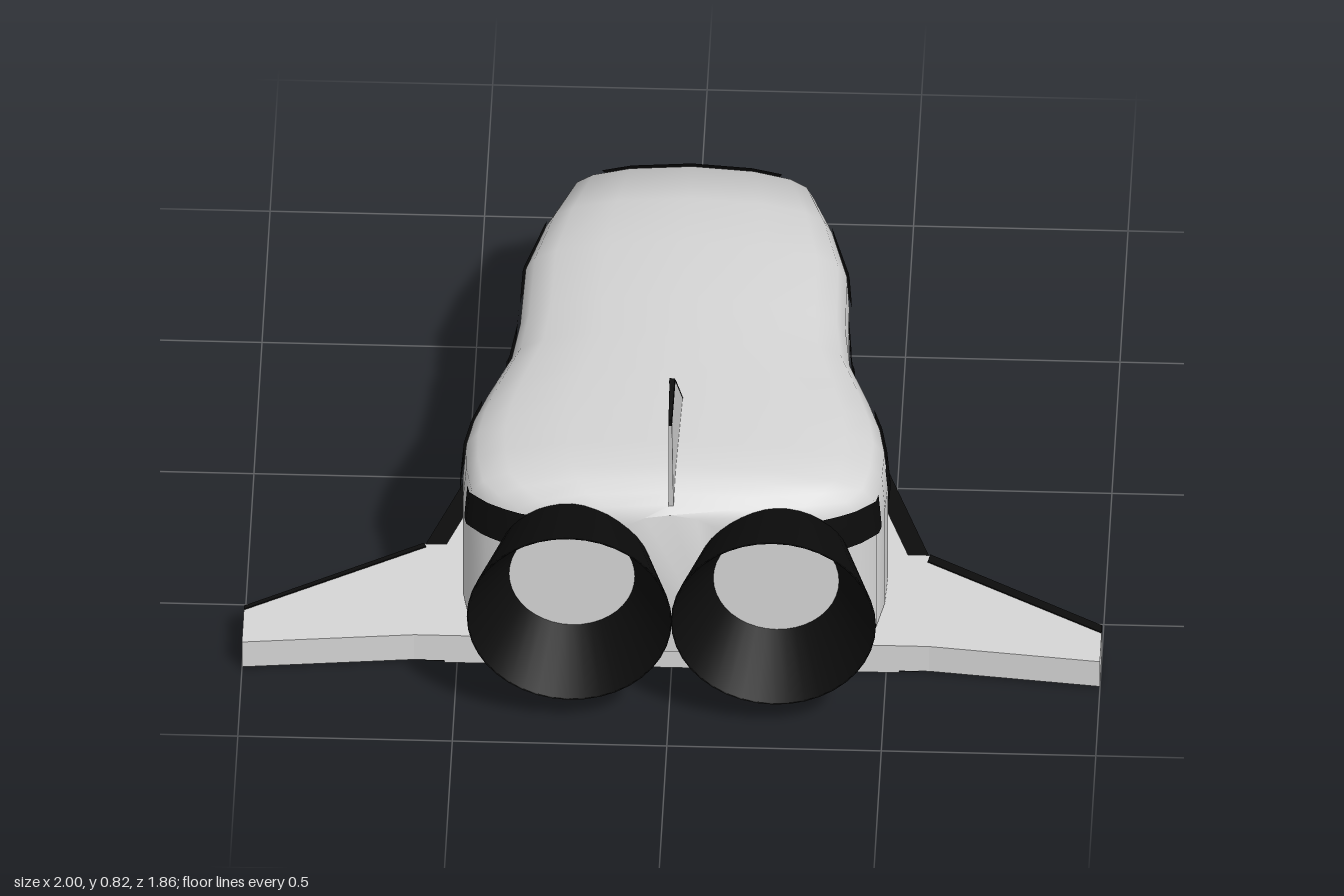
import * as THREE from 'three';
import { toCreasedNormals } from 'three/addons/utils/BufferGeometryUtils.js';

const hull = new THREE.MeshStandardMaterial({ color: 0xd6d6d6 });
const black = new THREE.MeshStandardMaterial({ color: 0x0c0c0c, side: THREE.DoubleSide });
hull.name = 'hullGrey';
black.name = 'tileBlack';

// Piecewise linear lookup in rows sorted by column 0
function lerpRows(rows, t, col) {
  let i = 1;
  while (i < rows.length - 1 && rows[i][0] < t) i++;
  const a = rows[i - 1], b = rows[i];
  const k = Math.min(1, Math.max(0, (t - a[0]) / (b[0] - a[0])));
  return a[col] + (b[col] - a[col]) * k;
}

// Skin over equal-sized rings of points; closed rings get end caps
function loft(rings, crease = 0.3, closed = true) {
  const n = rings[0].length, pos = rings.flat(2), idx = [];
  for (let r = 0; r < rings.length - 1; r++) {
    for (let i = 0; i < (closed ? n : n - 1); i++) {
      const j = (i + 1) % n, a = r * n + i, b = r * n + j;
      idx.push(a, b, b + n, a, b + n, a + n);
    }
  }
  if (closed) {
    const last = (rings.length - 1) * n;
    for (let i = 1; i < n - 1; i++) {
      idx.push(0, i + 1, i, last, last + i, last + i + 1);
    }
  }
  const g = new THREE.BufferGeometry();
  g.setAttribute('position', new THREE.Float32BufferAttribute(pos, 3));
  g.setIndex(idx);
  return toCreasedNormals(g, crease);
}

// Horizontal plate from a plan outline of [x, z] points
function plate(points, y0, y1) {
  const shape = new THREE.Shape(points.map(([x, z]) => new THREE.Vector2(x, -z)));
  const g = new THREE.ExtrudeGeometry(shape, { depth: y1 - y0, bevelEnabled: false });
  return g.rotateX(-Math.PI / 2).translate(0, y0, 0);
}

// Fuselage stations: z, half width, roof height
const FLOOR = 0.088;
const stations = [
  [-0.9, 0.02, 0.215], [-0.885, 0.075, 0.232], [-0.855, 0.115, 0.247], [-0.8, 0.16, 0.27],
  [-0.73, 0.205, 0.3], [-0.645, 0.255, 0.4], [-0.555, 0.288, 0.505], [-0.39, 0.338, 0.538],
  [-0.21, 0.38, 0.55], [0, 0.385, 0.55], [0.13, 0.4, 0.55], [0.27, 0.45, 0.55],
  [0.37, 0.48, 0.55], [0.46, 0.495, 0.55], [0.55, 0.492, 0.55], [0.64, 0.475, 0.55],
  [0.68, 0.435, 0.54], [0.71, 0.385, 0.522], [0.735, 0.3, 0.505], [0.755, 0.12, 0.49],
];
// Section: height fraction, width fraction
const section = [[0, 1], [0.6, 1], [0.8, 0.985], [0.87, 0.93], [0.925, 0.8], [0.975, 0.5], [1, 0]];
const acrossSection = section.map(([h, w]) => [w, h]).reverse();
const halfWidth = (z) => lerpRows(stations, z, 1);
const roof = (z) => lerpRows(stations, z, 2);

function fuselage() {
  return loft(stations.map(([z, w, top]) => {
    const right = section.map(([h, f]) => [w * f, FLOOR + (top - FLOOR) * h, z]);
    const left = right.slice(0, -1).reverse().map(([x, y]) => [-x, y, z]);
    return [...right, ...left];
  }), 0.9);
}

// Side window following the fuselage wall
function sideWindow(z0, z1, side) {
  const rings = [];
  for (let i = 0; i <= 10; i++) {
    const z = z0 + (z1 - z0) * i / 10;
    const slope = (halfWidth(z + 0.01) - halfWidth(z - 0.01)) / 0.02;
    const k = 0.007 / Math.hypot(1, slope);
    rings.push([0.365, 0.41, 0.458].map((y) => {
      const f = lerpRows(section, (y - FLOOR) / (roof(z) - FLOOR), 1);
      return [side * (halfWidth(z) * f + k), y, z - slope * k];
    }));
  }
  return loft(rings, 0.9, false);
}

// Windscreen following the sloped roof
function windscreen() {
  const rings = [];
  for (let i = 0; i <= 6; i++) {
    const z = -0.72 + 0.16 * i / 6, w = 0.165 + 0.045 * i / 6, ring = [];
    for (let j = 0; j <= 12; j++) {
      const x = w * (1 - j / 6);
      const h = lerpRows(acrossSection, Math.abs(x) / halfWidth(z), 1);
      ring.push([x, FLOOR + (roof(z) - FLOOR) * h + 0.006, z - 0.006]);
    }
    rings.push(ring);
  }
  return loft(rings, 0.9, false);
}

// Belly slab from rows of z, half width, underside height
const slab = (rows, top) => loft(rows.map(([z, w, y]) =>
  [[w, y, z], [w, top, z], [-w, top, z], [-w, y, z]]));

// Fin ring: leading and trailing points with half thicknesses
const finRing = (zl, yl, tl, zt, yt, tt) =>
  [[tt, yt, zt], [tl, yl, zl], [-tl, yl, zl], [-tt, yt, zt]];

export function createModel() {
  const model = new THREE.Group();
  const add = (name, geometry, material, parent = model) => {
    const mesh = new THREE.Mesh(geometry, material);
    mesh.name = name;
    parent.add(mesh);
    return mesh;
  };

  add('fuselage', fuselage(), hull);
  add('windscreen', windscreen(), black);
  for (const side of [1, -1]) {
    for (const [z0, z1] of [[-0.395, -0.2], [-0.055, 0.145], [0.295, 0.525], [0.615, 0.738]]) {
      add('sideWindow', sideWindow(z0, z1, side), black);
    }
  }

  // Black-edged belly with a grey centre panel
  add('bellyEdge', slab([
    [-0.93, 0.08, 0.044], [-0.64, 0.275, 0.003], [-0.21, 0.4, 0.003],
    [0.36, 0.59, 0.003], [0.7, 0.575, 0.003],
  ], 0.075), black);
  add('bellyPanel', slab([
    [-0.89, 0.055, 0.036], [-0.63, 0.23, 0], [-0.21, 0.35, 0], [0.36, 0.54, 0], [0.701, 0.53, 0],
  ], 0.079), hull);

  // Wings in one piece, with leading edge stripes
  const half = [[0.59, 0.355], [1, 0.61], [1, 0.745], [0.6, 0.702]];
  const mirrored = half.map(([x, z]) => [-x, z]).reverse();
  add('wings', plate([...half, ...mirrored], 0.007, 0.08), hull);
  for (const [side, w] of [[1, 0.027], [-1, 0.013]]) {
    const stripe = [[0.59, 0.355], [1, 0.61], [1, 0.61 + w], [0.585, 0.355 + w]];
    add('wingStripe', plate(stripe.map(([x, z]) => [x * side, z]), 0.079, 0.083), black);
  }

  // Tail fin with black tip and leading edge
  const base = finRing(0.37, 0.535, 0.014, 0.735, 0.49, 0.006);
  const mid = finRing(0.645, 0.8, 0.007, 0.783, 0.775, 0.004);
  const tip = finRing(0.66, 0.82, 0.006, 0.79, 0.798, 0.004);
  add('tailFin', loft([base, mid]), hull);
  add('finTip', loft([mid, tip]), black);
  add('finLeadingEdge', loft([
    finRing(0.366, 0.537, 0.014, 0.371, 0.535, 0.015),
    finRing(0.642, 0.803, 0.007, 0.646, 0.8, 0.008),
  ]), black);

  // Engine bells with pale throats
  for (const x of [-0.23, 0.246]) {
    const engine = new THREE.Group();
    engine.name = 'engine';
    engine.position.set(x, 0.314, 0);
    const profile = [[0.165, 0.68], [0.239, 0.93], [0.234, 0.93], [0.146, 0.762]];
    const bell = new THREE.LatheGeometry(profile.map(([r, y]) => new THREE.Vector2(r, y)), 40);
    add('engineBell', bell.rotateX(Math.PI / 2), black, engine);
    add('engineThroat', new THREE.CircleGeometry(0.15, 40).translate(0, 0, 0.763), hull, engine);
    model.add(engine);
  }
  return model;
}
